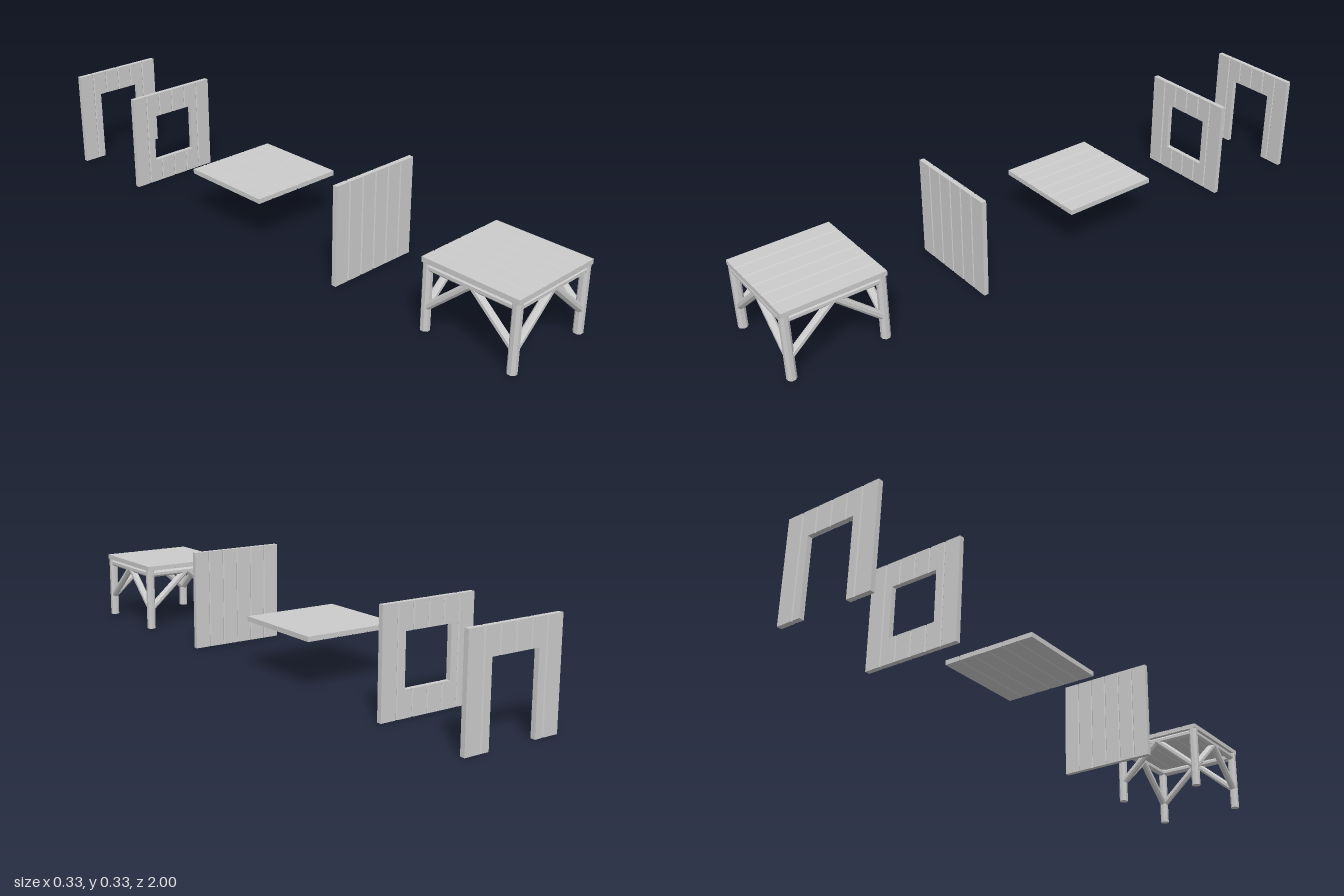
import * as THREE from 'three';

const material = new THREE.MeshStandardMaterial({ color: 0xcccccc, flatShading: true });
const SIZE = 0.33, HALF = SIZE / 2, PLANK = SIZE / 6, THICK = 0.016, BEVEL = 0.003;

// One plank: bevelled cross-section (x, thickness) extruded along its length
function plank(x0, x1, start, end, bevelLeft, bevelRight) {
  const t = THICK / 2, l = bevelLeft ? BEVEL : 0, r = bevelRight ? BEVEL : 0;
  const points = [[x0 + l, -t], [x1 - r, -t]];
  if (r) points.push([x1, -t + r], [x1, t - r]);
  points.push([x1 - r, t], [x0 + l, t]);
  if (l) points.push([x0, t - l], [x0, -t + l]);
  const shape = new THREE.Shape(points.map(p => new THREE.Vector2(p[0], p[1])));
  const geometry = new THREE.ExtrudeGeometry(shape, { depth: end - start, bevelEnabled: false });
  geometry.translate(0, 0, start);
  const mesh = new THREE.Mesh(geometry, material);
  mesh.name = 'plank';
  return mesh;
}

// Six planks side by side, with an optional opening {half, bottom, top}
function panel(name, opening) {
  const group = new THREE.Group();
  group.name = name;
  for (let i = 0; i < 6; i++) {
    const a = -HALF + i * PLANK, b = a + PLANK;
    const cuts = [a, b];
    if (opening) for (const c of [-opening.half, opening.half]) if (c > a && c < b) cuts.push(c);
    cuts.sort((p, q) => p - q);
    for (let k = 0; k < cuts.length - 1; k++) {
      const x0 = cuts[k], x1 = cuts[k + 1];
      const left = x0 === a && i > 0, right = x1 === b && i < 5;
      const open = opening && Math.abs((x0 + x1) / 2) < opening.half;
      const spans = open ? [[0, opening.bottom], [opening.top, SIZE]] : [[0, SIZE]];
      for (const [s, e] of spans) if (e > s) group.add(plank(x0, x1, s, e, left, right));
    }
  }
  return group;
}

// Upright panel standing on the ground
function wall(name, z, opening) {
  const group = panel(name, opening);
  group.rotation.x = -Math.PI / 2;
  group.position.z = z;
  return group;
}

// Flat panel centred on z
function deck(name, y, z) {
  const group = panel(name);
  group.position.set(0, y, z - HALF);
  return group;
}

// Eight-sided timber between two points, width measured across the flats
function timber(name, a, b, width) {
  const from = new THREE.Vector3(...a), to = new THREE.Vector3(...b);
  const dir = to.clone().sub(from);
  const radius = width / 2 / Math.cos(Math.PI / 8);
  const geometry = new THREE.CylinderGeometry(radius, radius, dir.length(), 8);
  geometry.rotateY(Math.PI / 8);
  const mesh = new THREE.Mesh(geometry, material);
  mesh.name = name;
  mesh.position.copy(from).add(to).multiplyScalar(0.5);
  mesh.quaternion.setFromUnitVectors(new THREE.Vector3(0, 1, 0), dir.normalize());
  return mesh;
}

// Raised platform: four identical sides turned about the centre, plus a deck
function platform(z) {
  const group = new THREE.Group();
  group.name = 'platform';
  const c = 0.151;
  for (let i = 0; i < 4; i++) {
    const side = new THREE.Group();
    side.name = 'platformSide';
    side.add(timber('leg', [c, 0, c], [c, 0.217, c], 0.028));
    side.add(timber('rail', [-c, 0.2015, c], [c, 0.2015, c], 0.023));
    for (const s of [-1, 1]) {
      side.add(timber('brace', [s * c, 0.073, c], [s * 0.004, 0.2015, c], 0.023));
    }
    side.rotation.y = i * Math.PI / 2;
    group.add(side);
  }
  group.add(deck('platformDeck', 0.223, 0));
  group.position.z = z;
  return group;
}

export function createModel() {
  const model = new THREE.Group();
  model.name = 'woodenBuildingKit';
  model.add(platform(0.835));
  model.add(wall('plainWall', 0.334));
  model.add(deck('floor', 0.166, -0.165));
  model.add(wall('windowWall', -0.663, { half: 0.0825, bottom: 0.0825, top: 0.2475 }));
  model.add(wall('doorWall', -0.992, { half: 0.0825, bottom: 0, top: 0.2475 }));
  return model;
}
